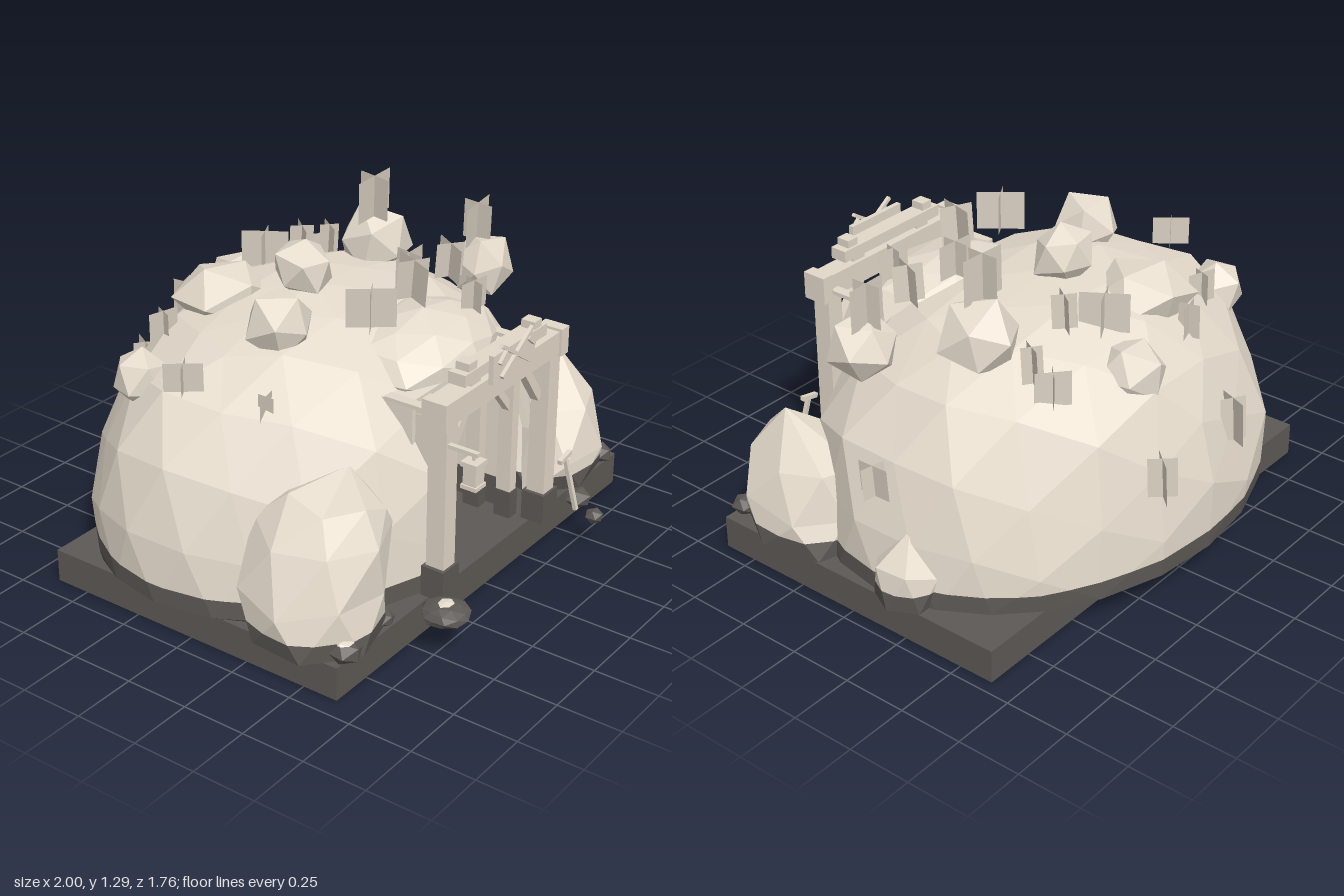
import * as THREE from 'three';

const mat = (name, color, side = THREE.FrontSide) => {
  const m = new THREE.MeshStandardMaterial({ color, flatShading: true, side });
  m.name = name;
  return m;
};
const GROUND = 0.13, MUD = 0.2, CX = 0.01;

// Small repeatable noise in -1..1 from a position
const noise = (v, seed = 0) => {
  const s = Math.sin(Math.round(v.x * 99) * 12.99 + Math.round(v.y * 99) * 78.23 + Math.round(v.z * 99) * 37.72 + seed * 4.1) * 43758.5;
  return (s - Math.floor(s)) * 2 - 1;
};

// Cut a convex polygon at axis = v, returning [below, above]
function split(poly, axis, v) {
  const lo = [], hi = [];
  poly.forEach((a, i) => {
    const b = poly[(i + 1) % poly.length], da = a[axis] - v, db = b[axis] - v;
    if (da <= 0) lo.push(a);
    if (da >= 0) hi.push(a);
    if (da * db < 0) {
      const c = a.clone().lerp(b, da / (da - db));
      lo.push(c); hi.push(c);
    }
  });
  return [lo, hi].map(p => (p.length > 2 ? p : []));
}

// Triangles of an icosphere whose points are moved by a rule
function ball(detail, rule) {
  const p = new THREE.IcosahedronGeometry(1, detail).attributes.position, out = [];
  for (let i = 0; i < p.count; i += 3)
    out.push([0, 1, 2].map(k => rule(new THREE.Vector3().fromBufferAttribute(p, i + k))));
  return out;
}

// Boulder from rings [y, centreX, centreZ, radiusX, radiusZ] closed by a peak; skew leans each ring in plan
function boulder(rings, peak, skew, seed, n = 7) {
  const loops = rings.map(([y, cx, cz, rx, rz], r) => Array.from({ length: n }, (_, i) => {
    const a = ((i + r * 0.4) / n) * Math.PI * 2, x = Math.cos(a), z = Math.sin(a);
    const k = 1.03 + 0.06 * noise(new THREE.Vector3(x, r, z), seed);
    return new THREE.Vector3(cx + x * rx * k + skew * z * rz, r ? y + 0.025 * noise(new THREE.Vector3(z, r, x), seed) : y, cz + z * rz * k);
  }));
  const out = [], tip = new THREE.Vector3(...peak);
  loops.forEach((lo, r) => lo.forEach((a, i) => {
    const j = (i + 1) % n, up = loops[r + 1];
    if (up) out.push([a, up[i], lo[j]], [lo[j], up[i], up[j]]);
    else out.push([a, tip, lo[j]]);
  }));
  return out;
}

function polyMesh(name, polys, material) {
  const pts = [];
  polys.forEach(p => { for (let i = 1; i < p.length - 1; i++) pts.push(p[0], p[i], p[i + 1]); });
  const g = new THREE.BufferGeometry().setFromPoints(pts);
  g.computeVertexNormals();
  const m = new THREE.Mesh(g, material);
  m.name = name;
  return m;
}

export function createModel() {
  const root = new THREE.Group();
  root.name = 'mineEntrance';
  const stone = mat('paleStone', 0xe7ddce);
  const earth = mat('darkEarth', 0x5d5955);
  const under = mat('blackUnderside', 0x2c2b2a);
  const wood = mat('paleWood', 0xe2d8c8);
  const leaf = mat('dryGrass', 0xd8cec0, THREE.DoubleSide);

  // Rock with a dark muddy foot and, where it lies flat on the ground, a black underside
  function addRock(name, polys) {
    const g = new THREE.Group(), flat = p => p.every(v => v.y < GROUND + 0.001);
    const cut = polys.filter(p => !flat(p)).map(p => split(p, 'y', MUD));
    g.name = name;
    [['Underside', polys.filter(flat), under], ['Foot', cut.map(c => c[0]), earth], ['Top', cut.map(c => c[1]), stone]]
      .forEach(([part, list, m]) => {
        const full = list.filter(p => p.length);
        if (full.length) g.add(polyMesh(name + part, full, m));
      });
    root.add(g);
  }
  // Box from its minimum and maximum corners
  function box(name, x0, x1, y0, y1, z0, z1, m = wood) {
    const b = new THREE.Mesh(new THREE.BoxGeometry(x1 - x0, y1 - y0, z1 - z0), m);
    b.position.set((x0 + x1) / 2, (y0 + y1) / 2, (z0 + z1) / 2);
    b.name = name;
    root.add(b);
  }
  // Square bar between two points
  function bar(name, a, b, w) {
    const A = new THREE.Vector3(...a), B = new THREE.Vector3(...b);
    const s = new THREE.Mesh(new THREE.BoxGeometry(w, A.distanceTo(B), w), wood);
    s.position.copy(A).lerp(B, 0.5);
    s.quaternion.setFromUnitVectors(new THREE.Vector3(0, 1, 0), B.sub(A).normalize());
    s.name = name;
    root.add(s);
  }
  // Remove the tunnel opening from a set of polygons
  const tunnelCut = polys => polys.flatMap(p => {
    const keep = [];
    let rest = p;
    const take = (axis, v, side) => {
      if (!rest.length) return;
      const s = split(rest, axis, v);
      if (s[side].length) keep.push(s[side]);
      rest = s[1 - side];
    };
    take('z', 0.0, 0);
    take('x', CX - 0.31, 0);
    take('x', CX + 0.31, 1);
    take('y', 0.83, 1);
    return keep;
  });

  box('base', -0.92, 0.95, 0, GROUND, -0.64, 0.64, [earth, earth, earth, under, earth, earth]);

  // Hill: a blunt dome with a flat underside, fuller at the front
  const P = 2.7;
  addRock('hill', tunnelCut(ball(3, d => {
    const h = Math.hypot(d.x, d.z), n = noise(d);
    let s = 1, y = GROUND;
    if (d.y > 0.04) {
      s = Math.pow(Math.pow(h, P) + Math.pow(d.y, P), -1 / P) * (1.005 + 0.025 * n);
      y += d.y * s * 0.88;
    } else if (d.y > -0.25) s = 1 / h;
    return new THREE.Vector3(-0.02 + d.x * s * 0.955, y, -0.12 + d.z * s * (d.z > 0 ? 0.78 : 0.74));
  })));
  addRock('browRock', tunnelCut(ball(1, d =>
    new THREE.Vector3(0.06 + d.x * 0.34, 0.84 + d.y * 0.16, 0.3 + d.z * 0.25).addScaledVector(d, 0.02 * noise(d)))));

  // Boulders standing on the ground
  addRock('rightBoulder', boulder([[GROUND, -0.755, 0.42, 0.24, 0.24], [0.3, -0.755, 0.42, 0.245, 0.25],
    [0.5, -0.71, 0.43, 0.205, 0.235], [0.605, -0.655, 0.44, 0.14, 0.185]], [-0.55, 0.67, 0.42], 0, 1));
  addRock('leftBoulder', boulder([[GROUND, 0.735, 0.4, 0.25, 0.28], [0.27, 0.74, 0.4, 0.245, 0.28],
    [0.44, 0.75, 0.4, 0.175, 0.235]], [0.8, 0.61, 0.44], -0.2, 2));
  addRock('sideBoulder', boulder([[GROUND, 0.89, -0.21, 0.11, 0.12], [0.26, 0.89, -0.21, 0.11, 0.125]], [0.89, 0.415, -0.23], 0, 3, 6));

  // Loose rocks on the hill: x, y, z, radius, height factor
  [[0.14, 0.84, -0.61, 0.135, 1], [-0.65, 0.8, -0.43, 0.11, 1], [-0.05, 1.09, -0.16, 0.12, 1], [-0.38, 1.02, 0, 0.125, 1],
   [0.48, 0.99, -0.22, 0.15, 1], [0.69, 0.92, 0.14, 0.125, 1], [-0.18, 0.95, -0.42, 0.18, 0.75]].forEach(([x, y, z, r, f], k) =>
    addRock('hillRock' + (k + 1), ball(0, d =>
      d.clone().multiplyScalar(r * (1 + 0.15 * noise(d, k))).applyAxisAngle(new THREE.Vector3(0.3, 0.9, 0.3).normalize(), k)
        .multiply(new THREE.Vector3(1, f, 1)).add(new THREE.Vector3(x, y, z)))));

  // Small stones around the entrance: x, z, radius, height
  [[-0.86, 0.63, 0.06, 0.095], [-0.46, 0.77, 0.085, 0.085], [0.51, 0.73, 0.055, 0.08], [0.44, 0.84, 0.036, 0.06],
   [0.87, 0.61, 0.055, 0.08], [-0.6, 0.6, 0.05, 0.06]].forEach(([x, z, r, h], k) =>
    addRock('stone' + (k + 1), ball(k === 1 ? 1 : 0, d => new THREE.Vector3(
      x + d.x * r * (1 + 0.12 * noise(d, k)), GROUND - 0.01 + (d.y + 1) * h / 2, z + d.z * r * (1 + 0.12 * noise(d, k + 3))))));

  // Tunnel lining with a dark skirting
  const lining = (name, x0, x1, z0, z1) => {
    box(name + 'Skirting', x0, x1, GROUND, 0.25, z0, z1, earth);
    box(name, x0, x1, 0.25, 0.83, z0, z1, stone);
  };
  lining('tunnelBack', CX - 0.32, CX + 0.32, -0.24, -0.2);
  for (const s of [-1, 1]) lining('tunnelWall', CX + s * 0.32 - 0.01, CX + s * 0.32 + 0.01, -0.2, 0.52);
  box('tunnelCeiling', CX - 0.32, CX + 0.32, 0.81, 0.83, -0.2, 0.5, stone);
  box('ceilingPlank', CX - 0.28, CX + 0.28, 0.79, 0.81, 0.44, 0.6);

  // Timber frames inside the tunnel
  [0.54, 0.4, 0.24, 0.08, -0.08].forEach((z, i) => {
    for (const s of [-1, 1]) {
      const x = CX + s * 0.275;
      box('innerPost', x - 0.022, x + 0.022, 0.24, 0.8, z - 0.03, z + 0.03);
      box('innerPostFoot', x - 0.026, x + 0.026, GROUND, 0.24, z - 0.035, z + 0.035, earth);
      if (i < 2) bar('brace', [CX + s * 0.265, 0.59, z], [CX + s * 0.14, 0.74, z], 0.03);
    }
    box('innerLintel', CX - 0.3, CX + 0.3, 0.73, 0.79, z - 0.03, z + 0.03);
  });

  // Front gate
  for (const s of [-1, 1]) {
    const x = CX + s * 0.335;
    box('gatePost', x - 0.035, x + 0.035, 0.25, 0.82, 0.615, 0.69);
    box('gatePostFoot', x - 0.05, x + 0.05, GROUND, 0.25, 0.605, 0.7, earth);
    bar('gateBrace', [CX + s * 0.3, 0.65, 0.64], [CX + s * 0.18, 0.82, 0.64], 0.035);
    box('tieBeam', x - 0.02, x + 0.02, 0.835, 0.85, 0.42, 0.62);
    box('beamEnd', CX + s * 0.375 - 0.025, CX + s * 0.375 + 0.025, 0.808, 0.915, 0.605, 0.705);
    box('topPeg', CX + s * 0.21 - 0.025, CX + s * 0.21 + 0.025, 0.97, 1.0, 0.63, 0.685);
  }
  box('gateBeam', CX - 0.4, CX + 0.4, 0.815, 0.905, 0.615, 0.695);
  box('upperBeam', CX - 0.265, CX + 0.265, 0.925, 0.97, 0.62, 0.69);
  for (const x of [-0.17, 0.19]) box('spacer', x - 0.03, x + 0.03, 0.9, 0.93, 0.63, 0.68);

  // Sign board with crossed bars
  box('signBoard', CX - 0.135, CX + 0.135, 0.89, 1.0, 0.7, 0.72);
  for (const s of [-1, 1]) {
    bar('crossedHandle', [CX - s * 0.09, 0.905, 0.727], [CX + s * 0.1, 1.03, 0.727], 0.014);
    bar('crossedHead', [CX + s * 0.07, 1.0, 0.73], [CX + s * 0.11, 0.965, 0.73], 0.014);
  }

  // Lantern on its arm
  const lx = -0.343, lz = 0.79;
  box('lanternArm', lx - 0.01, lx + 0.01, 0.735, 0.75, 0.69, 0.81);
  box('lanternHook', lx - 0.005, lx + 0.005, 0.715, 0.737, lz - 0.005, lz + 0.005);
  box('lanternCap', lx - 0.033, lx + 0.033, 0.7, 0.718, lz - 0.033, lz + 0.033);
  box('lanternGlass', lx - 0.026, lx + 0.026, 0.63, 0.7, lz - 0.026, lz + 0.026);
  box('lanternBase', lx - 0.032, lx + 0.032, 0.615, 0.63, lz - 0.032, lz + 0.032);

  // Pickaxe leaning by the gate
  bar('pickHandle', [0.455, 0.14, 0.75], [0.415, 0.375, 0.715], 0.016);
  bar('pickHead', [0.375, 0.365, 0.715], [0.45, 0.38, 0.715], 0.018);

  // Crossed grass cards: x, y, z, width, height, turn
  [[0.44, 1.2, -0.19, 0.2, 0.17, 0], [0.69, 1.09, 0.12, 0.18, 0.16, 0.1], [0.05, 1.11, 0.26, 0.18, 0.15, 1.2],
   [-0.19, 1.08, 0.25, 0.18, 0.15, -0.9], [0.2, 1.07, 0.14, 0.17, 0.13, 0], [0.41, 1.04, 0.18, 0.16, 0.14, 1.1],
   [0.27, 1.0, 0.38, 0.13, 0.12, -0.2], [0.47, 0.95, -0.43, 0.11, 0.14, 1.0], [0.47, 0.89, -0.52, 0.13, 0.13, -0.7],
   [0.23, 1.04, -0.38, 0.13, 0.13, 0.9], [0.12, 1.02, -0.47, 0.18, 0.15, -1.0], [-0.2, 0.9, -0.61, 0.12, 0.13, 0.3],
   [-0.2, 0.57, -0.82, 0.14, 0.17, 1.1], [0.25, 0.55, -0.83, 0.15, 0.15, 0.8], [-0.44, 0.9, -0.5, 0.12, 0.12, -0.3],
   [-0.74, 0.91, -0.15, 0.14, 0.11, -0.9], [-0.65, 0.84, 0.14, 0.09, 0.1, 0.2],
   [0.9, 0.56, -0.08, 0.14, 0.12, 1.5]].forEach(([x, y, z, w, h, turn]) => {
    const tuft = new THREE.Group();
    tuft.name = 'grassTuft';
    for (const k of [0, 1]) {
      const card = new THREE.Mesh(new THREE.PlaneGeometry(k ? w * 0.7 : w, h), leaf);
      card.rotation.y = k * 1.45;
      card.name = 'grassCard';
      tuft.add(card);
    }
    tuft.position.set(x, y, z);
    tuft.rotation.set(0.05, turn, 0.04);
    root.add(tuft);
  });

  return root;
}
